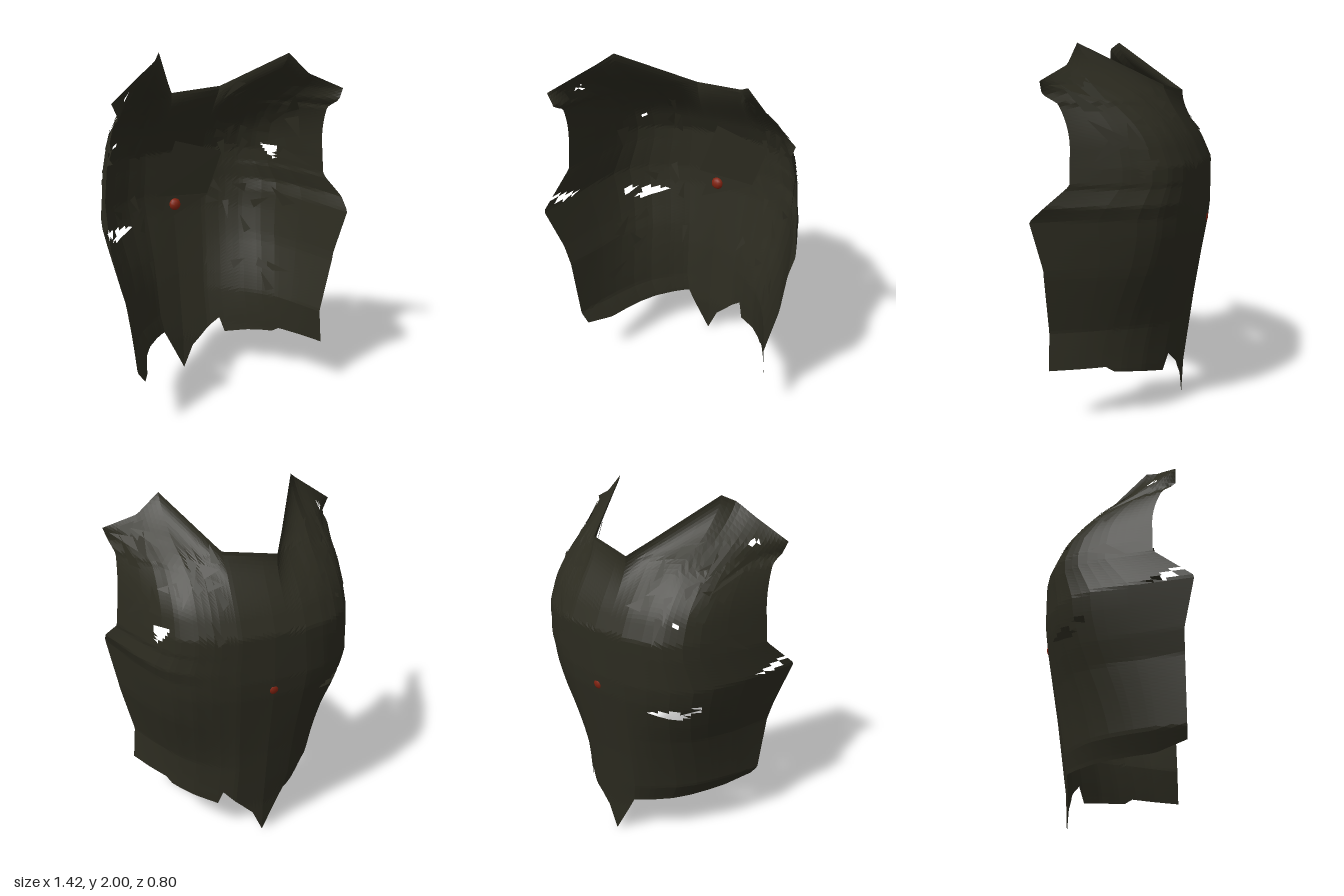
import * as THREE from 'three';

// Piecewise-linear lookup through [input, output] pairs
function lerpAt(pairs, k) {
  if (k <= pairs[0][0]) return pairs[0][1];
  for (let i = 1; i < pairs.length; i++) {
    const [a, p] = pairs[i - 1], [b, q] = pairs[i];
    if (k <= b) return p + (q - p) * (k - a) / (b - a);
  }
  return pairs[pairs.length - 1][1];
}

// Profiles of the curved plate, by height
const leftWidth = [[0.28, 0.6], [0.5, 0.58], [0.8, 0.65], [1.17, 0.71], [1.26, 0.67], [1.66, 0.63], [1.78, 0.67]];
const rightWidth = [[0.28, 0.5], [0.38, 0.57], [0.73, 0.61], [1.1, 0.715], [1.28, 0.66], [1.7, 0.62], [1.79, 0.66]];
const spineZ = [[0, -0.26], [0.2, -0.27], [0.6, -0.325], [1, -0.39], [1.1, -0.4], [1.36, -0.4], [1.72, -0.24], [1.9, 0], [2, 0.17]];
const sideZ = [[0.3, 0.345], [0.85, 0.345], [1.1, 0.4], [1.28, 0.2], [1.68, 0.2], [1.72, 0.33], [1.78, 0.33]];
// Horizontal arch: fraction of half width -> fraction of depth
const arch = [[0, 0], [0.28, 0.015], [0.45, 0.06], [0.6, 0.13], [0.72, 0.23], [0.8, 0.36], [0.88, 0.58], [1, 1]];
const lowArch = [[0, 0], [0.28, 0.04], [0.42, 0.13], [0.6, 0.28], [0.72, 0.43], [0.82, 0.6], [0.9, 0.76], [1, 1]];
// Jagged outline, by fraction of half width
const hem = [[-1, 0.32], [-0.9, 0.28], [-0.27, 0.27], [0, 0], [0.1, 0.14], [0.38, 0.31], [0.42, 0.22], [0.76, 0.27], [0.8, 0.3], [1, 0.3]];
const crest = [[-1, 1.79], [-0.63, 1.95], [-0.52, 2], [-0.12, 1.73], [0.3, 1.76], [0.58, 1.97], [0.75, 1.86], [1, 1.78]];
// Depth of the top edge, where the shoulders curl forward
const crestZ = [[-1, 0.33], [-0.75, 0.27], [-0.6, 0.245], [-0.52, 0.18], [-0.12, -0.24], [0.3, -0.18], [0.58, 0.23], [0.75, 0.25], [1, 0.34]];

// Point on the plate; lift moves it towards the hollow side
function plate(s, y, lift = 0) {
  const w = lerpAt(s > 0 ? leftWidth : rightWidth, y);
  const back = lerpAt(spineZ, y), u = Math.abs(s);
  const bend = THREE.MathUtils.lerp(lerpAt(lowArch, u), lerpAt(arch, u), THREE.MathUtils.smoothstep(y, 0.3, 1.1));
  const curl = THREE.MathUtils.clamp((y - 1.45) / (lerpAt(crest, s) - 1.45), 0, 1) ** 2;
  const z = THREE.MathUtils.lerp(back + (lerpAt(sideZ, y) - back) * bend, lerpAt(crestZ, s), curl);
  return [s * w - lift * s * u, y, z + lift * (1 - 0.6 * u)];
}

function seeded(seed) {
  return () => {
    seed = (seed * 16807) % 2147483647;
    return seed / 2147483647;
  };
}

function trianglesMesh(positions, material, name) {
  const g = new THREE.BufferGeometry();
  g.setAttribute('position', new THREE.Float32BufferAttribute(positions, 3));
  g.computeVertexNormals();
  const mesh = new THREE.Mesh(g, material);
  mesh.name = name;
  return mesh;
}

function inTriangle(px, py, t) {
  const side = (a, b) => (b[0] - a[0]) * (py - a[1]) - (b[1] - a[1]) * (px - a[0]);
  const d = [side(t[0], t[1]), side(t[1], t[2]), side(t[2], t[0])];
  return d.every(v => v >= 0) || d.every(v => v <= 0);
}

export function createModel() {
  const model = new THREE.Group();
  model.name = 'tornPlate';
  const olive = new THREE.MeshStandardMaterial({ color: 0x2c2b20, side: THREE.DoubleSide });
  olive.name = 'dark olive';
  const red = new THREE.MeshStandardMaterial({ color: 0x802210 });
  red.name = 'dull red';

  // Main curved shell with torn holes
  const knots = [-1, -0.93, -0.86, -0.76, -0.63, -0.52, -0.4, -0.27, -0.12, 0, 0.1, 0.2, 0.3, 0.38, 0.42, 0.58, 0.67, 0.76, 0.8, 0.86, 0.93, 1];
  const columns = knots.flatMap((s, i) => i ? [1, 2, 3].map(k => knots[i - 1] + (s - knots[i - 1]) * k / 3) : [s]);
  const rows = 84;
  const holes = [
    [[-0.56, 1.0], [-0.31, 0.95], [-0.43, 0.91]],
    [[-0.7, 1.18], [-0.685, 1.1], [-0.65, 1.1]],
    [[0.49, 1.4], [0.55, 1.4], [0.55, 1.31]],
    [[-0.44, 1.48], [-0.4, 1.45], [-0.44, 1.43]],
    [[-0.56, 1.8], [-0.52, 1.81], [-0.53, 1.77]],
    [[-0.49, 1.64], [-0.47, 1.59], [-0.48, 1.58]],
  ];
  const grid = columns.map(s => {
    const low = lerpAt(hem, s), high = lerpAt(crest, s);
    return Array.from({ length: rows + 1 }, (_, j) => plate(s, low + (high - low) * j / rows));
  });
  const shell = [];
  const addFace = (a, b, c) => {
    const x = (a[0] + b[0] + c[0]) / 3, y = (a[1] + b[1] + c[1]) / 3;
    if (!holes.some(h => inTriangle(x, y, h))) shell.push(...a, ...b, ...c);
  };
  for (let i = 0; i < columns.length - 1; i++) {
    for (let j = 0; j < rows; j++) {
      const a = grid[i][j], b = grid[i + 1][j], c = grid[i + 1][j + 1], d = grid[i][j + 1];
      addFace(a, b, c);
      addFace(a, c, d);
    }
  }
  model.add(trianglesMesh(shell, olive, 'curvedShell'));

  // Raised panel and three-cornered setting on the hollow side
  const a = [-0.12, 1.1, -0.375], b = [0.22, 1.08, -0.37], c = [0.31, 1.34, -0.35], d = [0, 1.43, -0.355];
  model.add(trianglesMesh([...a, ...b, ...c, ...a, ...c, ...d], olive, 'innerPanel'));
  model.add(trianglesMesh([-0.1, 0.93, -0.365, 0.22, 1.08, -0.36, -0.05, 1.09, -0.375], olive, 'gemSetting'));

  // Loose shards layered over both shoulders and the lower side
  const random = seeded(41);
  const shards = [];
  const addShard = (s, y, size, lift) => {
    const turn = random() * Math.PI * 2;
    for (let k = 0; k < 3; k++) {
      const r = size * (k === 0 ? 1.6 : 0.5), angle = turn + k * 2.1;
      const ss = THREE.MathUtils.clamp(s + Math.cos(angle) * r, -0.98, 0.98);
      const top = lerpAt(crest, ss) - 0.02;
      shards.push(...plate(ss, Math.min(y + Math.sin(angle) * r, top), k === 0 ? lift : lift * 0.3));
    }
  };
  for (const side of [-1, 1]) {
    for (let n = 0; n < 36; n++) {
      addShard(side * (0.35 + random() * 0.55), 1.35 + random() * 0.45, 0.07, n % 2 ? 0.03 : -0.012);
    }
    for (let n = 0; n < 12; n++) addShard(side * (0.3 + random() * 0.55), 0.45 + random() * 0.7, 0.06, 0.025);
  }
  model.add(trianglesMesh(shards, olive, 'shards'));

  // Gem showing on both faces of the plate
  const gem = new THREE.Mesh(new THREE.SphereGeometry(0.037, 10, 8), red);
  gem.name = 'gem';
  gem.scale.z = 0.8;
  gem.position.set(0, 1.04, -0.372);
  model.add(gem);

  return model;
}
